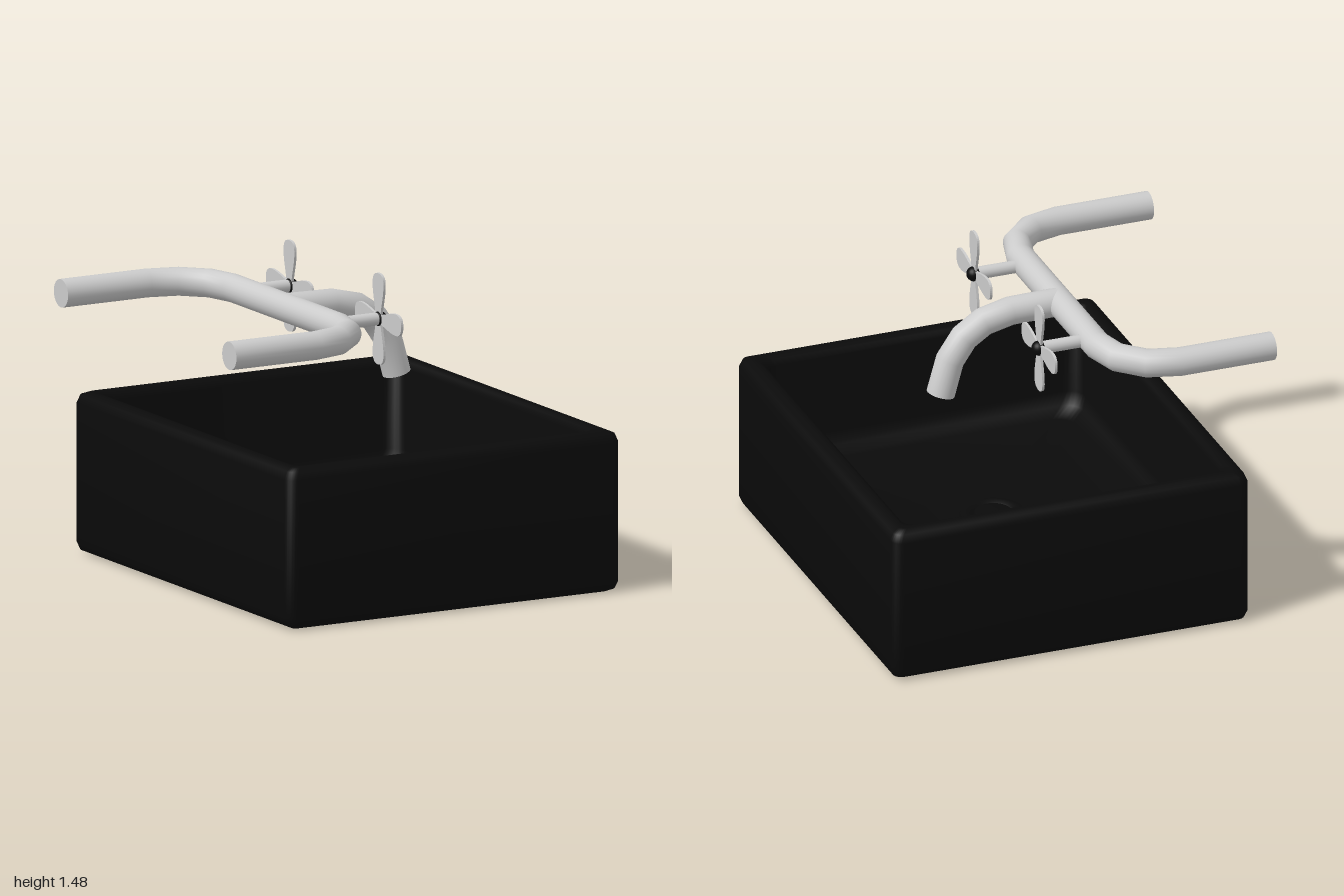
import * as THREE from 'three';
import { toCreasedNormals } from 'three/addons/utils/BufferGeometryUtils.js';

const grey = new THREE.MeshStandardMaterial({ color: 0xcccccc });
const greyThin = new THREE.MeshStandardMaterial({ color: 0xcccccc, side: THREE.DoubleSide });
const black = new THREE.MeshStandardMaterial({ color: 0x0a0a0a });
const blackThin = new THREE.MeshStandardMaterial({ color: 0x0a0a0a, side: THREE.DoubleSide });
const darkGreen = new THREE.MeshStandardMaterial({ color: 0x1c4038 });

const BASIN_X = 0.0925, PIPE_Y = 1.267, PIPE_R = 0.066;

function part(name, geometry, material, x = 0, y = 0, z = 0) {
  const m = new THREE.Mesh(geometry, material);
  m.name = name;
  m.position.set(x, y, z);
  return m;
}

// Skin over closed rounded-rectangle rings: [halfX, halfZ, y, cornerRadius]
function loftRings(rings) {
  const steps = 6, n = 4 * (steps + 1), pos = [], idx = [];
  const sx = [1, -1, -1, 1], sz = [-1, -1, 1, 1];
  for (const [hx, hz, y, r] of rings) {
    for (let c = 0; c < 4; c++) {
      for (let k = 0; k <= steps; k++) {
        const a = (c + k / steps) * Math.PI / 2;
        pos.push(sx[c] * (hx - r) + r * Math.cos(a), y, sz[c] * (hz - r) - r * Math.sin(a));
      }
    }
  }
  for (let i = 0; i < rings.length - 1; i++) {
    for (let j = 0; j < n; j++) {
      const a = i * n + j, b = i * n + (j + 1) % n;
      idx.push(a, b, b + n, a, b + n, a + n);
    }
  }
  const g = new THREE.BufferGeometry();
  g.setAttribute('position', new THREE.Float32BufferAttribute(pos, 3));
  g.setIndex(idx);
  return toCreasedNormals(g, 0.95);
}

// Path that places one tube ring on each given point
class PointPath extends THREE.Curve {
  constructor(pts) { super(); this.pts = pts; }
  getPoint(t) { return this.pts[Math.round(t * (this.pts.length - 1))].clone(); }
  getPointAt(u) { return this.getPoint(u); }
  getTangentAt(u) {
    const p = this.pts, i = Math.round(u * (p.length - 1)), t = new THREE.Vector3();
    if (i > 0) t.add(p[i].clone().sub(p[i - 1]).normalize());
    if (i < p.length - 1) t.add(p[i + 1].clone().sub(p[i]).normalize());
    return t.normalize();
  }
}

// Round pipe with flat end caps
function pipe(name, pts, radius) {
  const group = new THREE.Group();
  group.name = name;
  const last = pts.length - 1;
  group.add(part(name + 'Tube', new THREE.TubeGeometry(new PointPath(pts), last, radius, 24), grey));
  for (const [end, next] of [[pts[0], pts[1]], [pts[last], pts[last - 1]]]) {
    const cap = part(name + 'Cap', new THREE.CircleGeometry(radius, 24), grey, end.x, end.y, end.z);
    cap.lookAt(end.clone().multiplyScalar(2).sub(next));
    group.add(cap);
  }
  return group;
}

function createBasin() {
  const basin = new THREE.Group();
  basin.name = 'basin';
  basin.position.x = BASIN_X;
  const inset = (d, y, r) => [0.8725 - d, 1 - d, y, r];
  const hole = y => [0.1, 0.1, y, 0.1];
  // Underside, outer wall, rim, inner wall, floor and drain hole
  basin.add(part('bowl', loftRings([
    hole(0), inset(0.05, 0, 0.02), inset(0.015, 0.015, 0.04), inset(0, 0.05, 0.05),
    inset(0, 0.70, 0.05), inset(0.015, 0.737, 0.04), inset(0.05, 0.752, 0.03),
    inset(0.07, 0.752, 0.04), inset(0.09, 0.74, 0.06), inset(0.1, 0.71, 0.07),
    inset(0.105, 0.33, 0.08), inset(0.125, 0.27, 0.08), inset(0.19, 0.24, 0.08),
    hole(0.24), hole(0),
  ]), black));
  // Drain flange with a shallow groove and a domed plug
  const profile = [[0, 0.225], [0.13, 0.225], [0.155, 0.24], [0.15, 0.252], [0.13, 0.257],
    [0.105, 0.252], [0.09, 0.243], [0.085, 0.257], [0.05, 0.264], [0, 0.267]];
  basin.add(part('drain', toCreasedNormals(new THREE.LatheGeometry(
    profile.map(p => new THREE.Vector2(...p)), 32), 0.6), blackThin));
  return basin;
}

function createSupplyPipe() {
  const bend = 0.29, pts = [new THREE.Vector3(-0.97, PIPE_Y, -0.775)];
  const corner = [];
  for (let i = 0; i <= 3; i++) {
    const a = i * Math.PI / 6;
    corner.push(new THREE.Vector3(-0.52 + bend * Math.sin(a), PIPE_Y, -0.485 - bend * Math.cos(a)));
  }
  pts.push(...corner);
  // Mirror the half path to the other side
  const mirrored = pts.map(p => new THREE.Vector3(p.x, p.y, -p.z)).reverse();
  return pipe('supplyPipe', [...pts, ...mirrored], PIPE_R);
}

function createSpout() {
  const pts = [[-0.23, 1.267], [0.01, 1.263], [0.14, 1.232], [0.235, 1.168], [0.305, 1.065], [0.35, 0.903]]
    .map(([x, y]) => new THREE.Vector3(x, y, 0));
  const spout = pipe('spout', pts, PIPE_R);
  // Outlet insert
  const dir = pts[5].clone().sub(pts[4]).normalize();
  const outlet = part('outlet', new THREE.CylinderGeometry(0.045, 0.045, 0.012, 20), darkGreen);
  outlet.position.copy(pts[5]);
  outlet.quaternion.setFromUnitVectors(new THREE.Vector3(0, 1, 0), dir);
  spout.add(outlet);
  return spout;
}

function createHandle(z) {
  const handle = new THREE.Group();
  handle.name = 'handle';
  handle.position.set(0.025, PIPE_Y - 0.002, z);
  const stem = part('handleStem', new THREE.CylinderGeometry(0.03, 0.03, 0.235, 20), grey, -0.1175);
  stem.rotation.z = Math.PI / 2;
  handle.add(stem);
  // Four paddle blades standing in the y-z plane
  const blade = new THREE.Shape();
  blade.moveTo(-0.02, 0);
  blade.bezierCurveTo(-0.025, 0.06, -0.052, 0.11, -0.05, 0.165);
  blade.bezierCurveTo(-0.049, 0.2, -0.03, 0.213, 0, 0.213);
  blade.bezierCurveTo(0.03, 0.213, 0.049, 0.2, 0.05, 0.165);
  blade.bezierCurveTo(0.052, 0.11, 0.025, 0.06, 0.02, 0);
  const geo = new THREE.ExtrudeGeometry(blade, { depth: 0.012, bevelEnabled: false, curveSegments: 8 });
  geo.translate(0, 0, -0.006).rotateY(Math.PI / 2);
  for (let i = 0; i < 4; i++) {
    const b = part('handleBlade', geo, greyThin);
    b.rotation.x = i * Math.PI / 2;
    handle.add(b);
  }
  // Domed hub button
  const hub = part('handleHub', new THREE.SphereGeometry(0.035, 20, 14), black, 0.003);
  handle.add(hub);
  return handle;
}

export function createModel() {
  const model = new THREE.Group();
  model.name = 'basinAndTap';
  model.add(createBasin(), createSupplyPipe(), createSpout());
  for (const side of [-1, 1]) model.add(createHandle(side * 0.41));
  return model;
}
